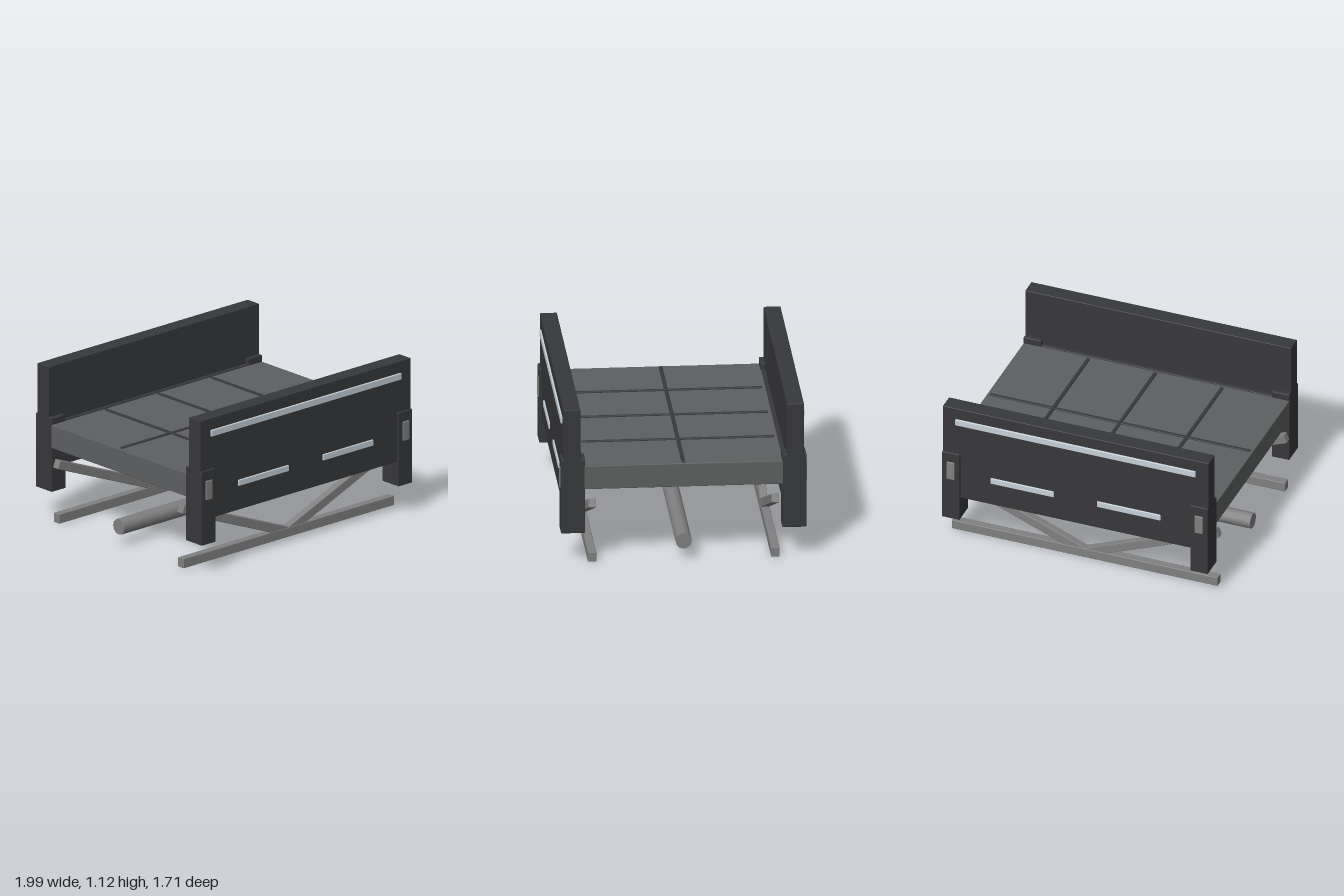
import * as THREE from 'three';
import { RoundedBoxGeometry } from 'three/addons/geometries/RoundedBoxGeometry.js';

const mat = (color) => new THREE.MeshStandardMaterial({ color });

export function createModel() {
  const model = new THREE.Group();
  model.name = 'bridgeSection';
  const dark = mat(0x37383a), slab = mat(0x5e5f60), steel = mat(0x808080), light = mat(0xc6d0d8);

  // Box given by its extents, with a small softened edge
  function box(parent, name, material, [x0, x1], [y0, y1], [z0, z1], bevel = 0.005) {
    const geometry = new RoundedBoxGeometry(x1 - x0, y1 - y0, z1 - z0, 1, bevel);
    const mesh = new THREE.Mesh(geometry, material);
    mesh.position.set((x0 + x1) / 2, (y0 + y1) / 2, (z0 + z1) / 2);
    mesh.name = name;
    parent.add(mesh);
    return mesh;
  }

  // Deck slab with its panel joints
  box(model, 'deck', slab, [-0.985, 0.985], [0.535, 0.705], [-0.69, 0.69]);
  for (const x of [-0.495, 0, 0.495]) {
    box(model, 'crossJoint', dark, [x - 0.013, x + 0.013], [0.695, 0.714], [-0.665, 0.665]);
  }
  box(model, 'longJoint', dark, [-0.965, 0.965], [0.695, 0.713], [-0.013, 0.013]);

  // Side wall, posts and truss; the second side is the first turned half round
  for (const turn of [0, Math.PI]) {
    const side = new THREE.Group();
    side.name = turn ? 'backSide' : 'frontSide';
    side.rotation.y = turn;
    model.add(side);

    box(side, 'parapet', dark, [-0.985, 0.985], [0.705, 1.12], [0.715, 0.832]);
    box(side, 'edgeBeam', dark, [-0.93, 0.93], [0.39, 0.712], [0.688, 0.83]);
    box(side, 'railStrip', light, [-0.89, 0.89], [0.987, 1.035], [0.82, 0.844]);
    box(side, 'lowerChord', steel, [-0.985, 0.985], [0.003, 0.072], [0.604, 0.663]);

    for (const s of [-1, 1]) {
      const span = (a, b) => (s > 0 ? [a, b] : [-b, -a]);
      box(side, 'post', dark, span(0.855, 0.985), [0.215, 0.753], [0.682, 0.848]);
      box(side, 'postPlate', steel, span(0.89, 0.95), [0.54, 0.68], [0.835, 0.857]);
      box(side, 'beamStrip', light, span(0.16, 0.63), [0.565, 0.61], [0.82, 0.84]);

      // Diagonal brace from the middle of the chord to the deck end
      const dx = 0.985, dy = 0.394, length = Math.hypot(dx, dy);
      const brace = box(side, 'brace', steel, [-length / 2, length / 2], [-0.032, 0.032], [-0.027, 0.027]);
      brace.position.set(s * dx / 2, 0.04 + dy / 2, 0.633);
      brace.rotation.z = s * Math.atan2(dy, dx);
    }
  }

  // Pipe running under the deck
  const pipe = new THREE.Mesh(new THREE.CylinderGeometry(0.057, 0.057, 1.97, 12), steel);
  pipe.name = 'pipe';
  pipe.rotation.z = Math.PI / 2;
  pipe.position.y = 0.137;
  model.add(pipe);

  return model;
}
